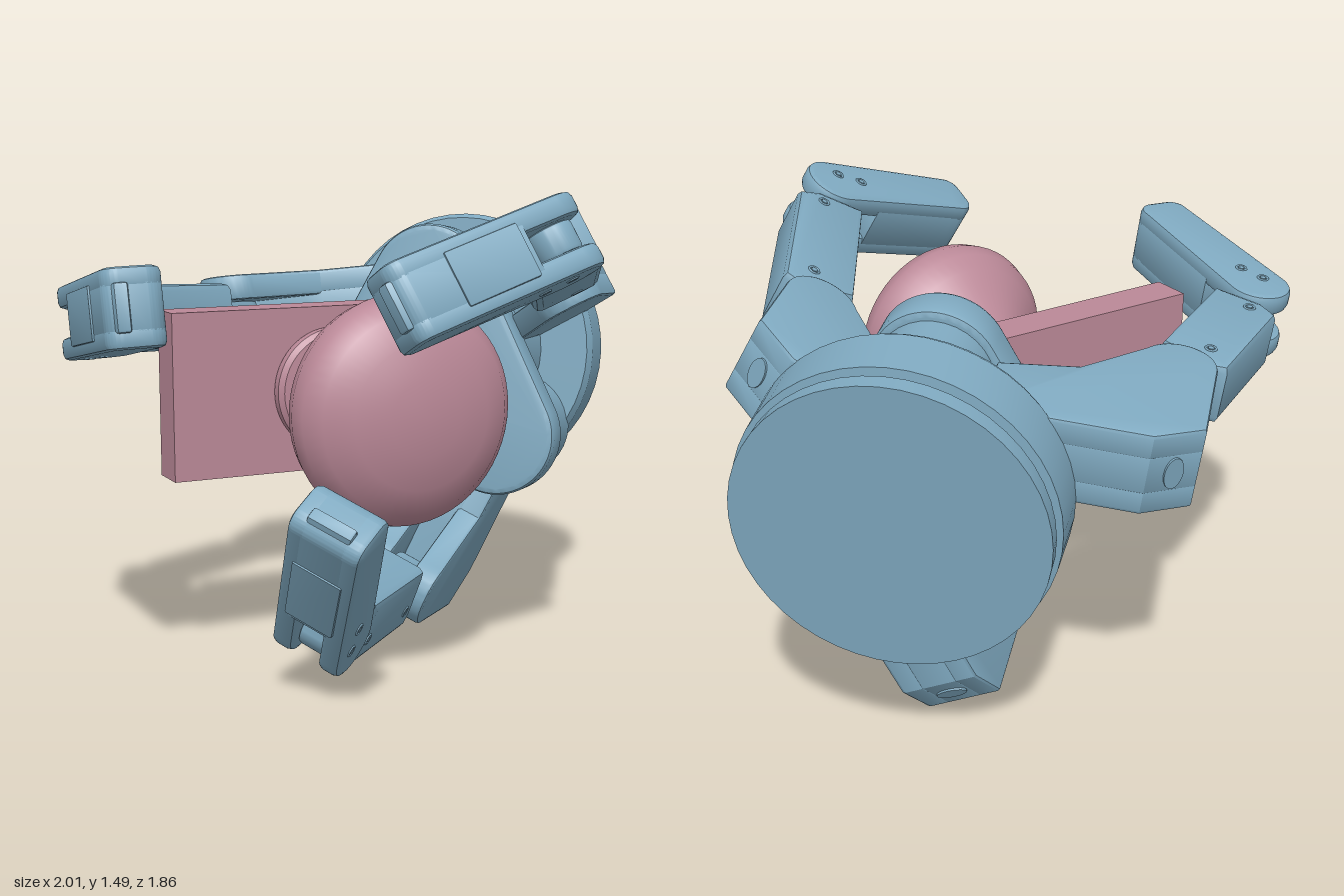
import * as THREE from 'three';
import { toCreasedNormals } from 'three/addons/utils/BufferGeometryUtils.js';

const blue = new THREE.MeshStandardMaterial({ color: 0x7fa9c0 });
const pink = new THREE.MeshStandardMaterial({ color: 0xbb8998 });
const V = (x, y, z) => new THREE.Vector3(x, y, z);

function add(parent, name, geometry, material = blue) {
  const m = new THREE.Mesh(geometry, material);
  m.name = name;
  parent.add(m);
  return m;
}

// Slab: an outline extruded across the local z axis, centred on z = off
function slab(parent, name, shape, width, off = 0, b = 0.012) {
  const g = new THREE.ExtrudeGeometry(shape, {
    depth: width - 2 * b, bevelEnabled: true, bevelThickness: b, bevelSize: b,
    bevelOffset: -b, bevelSegments: 2, curveSegments: 12,
  });
  g.translate(0, 0, off - width / 2 + b);
  return add(parent, name, toCreasedNormals(g, 0.5));
}

const poly = (...p) => new THREE.Shape(p.map(([x, y]) => new THREE.Vector2(x, y)));

function capsule(x0, r0, x1, r1) {
  const s = new THREE.Shape();
  s.absarc(x0, 0, r0, Math.PI / 2, Math.PI * 1.5);
  s.absarc(x1, 0, r1, -Math.PI / 2, Math.PI / 2);
  s.closePath();
  return s;
}

// Group at a joint: x runs along the link, y points outward, z is the hinge
function frame(parent, name, origin, dir, hinge) {
  const g = new THREE.Group();
  const x = dir.clone().addScaledVector(hinge, -dir.dot(hinge)).normalize();
  const y = hinge.clone().cross(x);
  g.quaternion.setFromRotationMatrix(new THREE.Matrix4().makeBasis(x, y, hinge));
  g.position.copy(origin);
  g.name = name;
  parent.add(g);
  return g;
}

// Small screws on both side faces
function screws(parent, x, y, half) {
  for (const s of [-1, 1]) {
    const ring = add(parent, 'screwRim', new THREE.TorusGeometry(0.016, 0.004, 6, 16));
    ring.position.set(x, y, s * half);
    const head = add(parent, 'screwHead', new THREE.CylinderGeometry(0.01, 0.01, 0.006, 6));
    head.rotation.x = Math.PI / 2;
    head.position.copy(ring.position);
  }
}

// Knuckle outline; the front is round for the cheeks and cut short for the web
function knuckleShape(inner, back, round) {
  const s = new THREE.Shape();
  s.moveTo(-back - 0.03, -inner);
  s.lineTo(-0.2, -inner);
  s.lineTo(-0.13, -0.27);
  if (round) s.absarc(0, 0, 0.115, -Math.PI / 3, Math.PI / 2);
  else {
    s.lineTo(-0.12, -0.2);
    s.lineTo(-0.12, 0.115);
  }
  s.lineTo(0.09 - back, 0.115);
  s.lineTo(-back, -0.02);
  s.closePath();
  return s;
}

// Fingertip outline; the root is round for the cheeks and cut short for the core
function tipShape(T, round) {
  const s = new THREE.Shape();
  if (round) s.absarc(0, 0, 0.105, Math.PI / 2, Math.PI * 1.5);
  else {
    s.moveTo(0.14, 0.1);
    s.lineTo(0.14, -0.102);
  }
  s.lineTo(T - 0.09, -0.092);
  s.absarc(T - 0.06, -0.032, 0.06, -Math.PI / 2, 0);
  s.absarc(T - 0.05, 0.035, 0.05, 0, Math.PI / 2);
  s.closePath();
  return s;
}

function finger(parent, axis, { name, j1, j2, tip, inner, back }) {
  const f = new THREE.Group();
  f.name = name;
  parent.add(f);
  const d1 = j2.clone().sub(j1), d2 = tip.clone().sub(j2);
  const hinge = d2.clone().cross(d1).normalize();

  // Knuckle: two cheeks with a shorter web between them
  const k = frame(f, 'knuckle', j1, axis, hinge);
  for (const s of [-1, 1]) slab(k, 'knuckleCheek', knuckleShape(inner, back, true), 0.085, s * 0.09);
  slab(k, 'knuckleWeb', knuckleShape(inner, back, false), 0.12, 0, 0.004);
  const port = add(k, 'cablePort', new THREE.CylinderGeometry(0.03, 0.03, 0.012, 20));
  port.position.set(0.045 - back, 0.048, 0);
  port.rotation.z = Math.atan2(0.135, 0.09);
  port.scale.z = 1.7;

  // Middle link: block with a narrow hinge tongue at each end
  const L = d1.length();
  const m = frame(f, 'middleLink', j1, d1, hinge);
  slab(m, 'hingeTongue', capsule(0, 0.07, L, 0.07), 0.09);
  slab(m, 'middleBlock', poly([0.15, -0.112], [L - 0.09, -0.112], [L - 0.1, 0.05],
    [L - 0.14, 0.115], [0.12, 0.115], [0.1, 0.06]), 0.205, 0, 0.025);
  screws(m, 0.19, 0.03, 0.1025);
  screws(m, L - 0.16, 0.03, 0.1025);

  // Fingertip: forked root, solid rounded end and an outer cover plate
  const T = d2.length();
  const t = frame(f, 'fingertip', j2, d2, hinge);
  for (const s of [-1, 1]) slab(t, 'tipCheek', tipShape(T, true), 0.07, s * 0.08, 0.018);
  slab(t, 'tipCore', tipShape(T, false), 0.14, 0, 0.003);
  slab(t, 'coverPlate', poly([0.16, 0.08], [T - 0.17, 0.07], [T - 0.17, 0.095], [0.16, 0.107]), 0.16, 0, 0.005);
  slab(t, 'nail', poly([T - 0.04, 0.0], [T + 0.015, 0.02], [T + 0.01, 0.055], [T - 0.04, 0.07]), 0.14, 0, 0.008);
  screws(t, 0.02, 0.03, 0.115);
  screws(t, 0.1, 0.0, 0.115);
}

export function createModel() {
  const model = new THREE.Group();
  const axis = V(-0.705, 0.1, 0.7).normalize();

  // Hand body, built along +z from the back of the wrist
  const hand = new THREE.Group();
  hand.name = 'handBody';
  const side = V(0, 1, 0).cross(axis).normalize();
  hand.quaternion.setFromRotationMatrix(
    new THREE.Matrix4().makeBasis(side, axis.clone().cross(side), axis));
  hand.position.set(0.687, 0.872, -0.582);
  model.add(hand);

  // Wrist: stepped drum
  const drum = new THREE.LatheGeometry([[0, 0], [0.455, 0], [0.455, 0.055], [0.44, 0.055], [0.44, 0.07],
    [0.47, 0.075], [0.475, 0.25], [0.46, 0.28], [0, 0.28]].map(p => new THREE.Vector2(...p)), 48);
  drum.rotateX(Math.PI / 2);
  add(hand, 'wristDrum', toCreasedNormals(drum, 0.4));
  const core = new THREE.CylinderGeometry(0.27, 0.3, 0.32, 40);
  core.rotateX(Math.PI / 2);
  core.translate(0, 0, 0.41);
  add(hand, 'palmCore', core);

  // Palm: rounded three-lobed plate, drawn around its lobes counterclockwise
  const lobes = [[-50, 0.36], [95, 0.22], [212, 0.24]].map(([a, d]) => {
    const r = a * Math.PI / 180;
    return new THREE.Vector2(Math.cos(r) * d, Math.sin(r) * d);
  });
  const palm = new THREE.Shape();
  lobes.forEach((c, i) => {
    const prev = c.clone().sub(lobes[(i + 2) % 3]).angle() - Math.PI / 2;
    const next = lobes[(i + 1) % 3].clone().sub(c).angle() - Math.PI / 2;
    palm.absarc(c.x, c.y, 0.2, prev, next);
  });
  palm.closePath();
  slab(hand, 'palmPlate', palm, 0.135, 0.565, 0.02);
  // Motor housings behind the palm lobes
  for (const c of lobes) {
    const g = new THREE.CylinderGeometry(0.18, 0.18, 0.3, 32);
    g.rotateX(Math.PI / 2);
    add(hand, 'motorHousing', g).position.set(c.x * 0.95, c.y * 0.95, 0.4);
  }

  // Fingers: joint positions for each pose
  [
    { name: 'upperFinger', j1: V(0.57, 1.19, 0.1), j2: V(0.16, 1.335, 0.745), tip: V(-0.383, 1.175, 0.815), inner: 0.34, back: 0.35 },
    { name: 'rearFinger', j1: V(-0.27, 1.03, -0.6), j2: V(-0.865, 1.07, -0.28), tip: V(-0.92, 1.17, 0.32), inner: 0.5, back: 0.42 },
    { name: 'lowerFinger', j1: V(0.115, 0.18, -0.1), j2: V(-0.385, 0.195, 0.37), tip: V(-0.495, 0.62, 0.73), inner: 0.6, back: 0.42 },
  ].forEach(p => finger(model, axis, p));

  // Door panel
  add(model, 'doorPanel', new THREE.BoxGeometry(1.045, 0.515, 0.13), pink).position.set(-0.193, 0.857, -0.045);

  // Door knob: rosette, neck and flared grip
  const pts = [[0, 0.01], [0.18, 0.01], [0.195, 0.025], [0.195, 0.055], [0.18, 0.07], [0.115, 0.075],
    [0.105, 0.1], [0.105, 0.19], [0.115, 0.225], [0.145, 0.265], [0.285, 0.395], [0.325, 0.445],
    [0.34, 0.5], [0.33, 0.55], [0.29, 0.6], [0.21, 0.64], [0.11, 0.664], [0, 0.672]];
  const knob = new THREE.LatheGeometry(pts.map(p => new THREE.Vector2(...p)), 56);
  knob.rotateX(Math.PI / 2);
  add(model, 'doorKnob', toCreasedNormals(knob, 0.7), pink).position.set(-0.195, 0.855, 0);

  return model;
}
